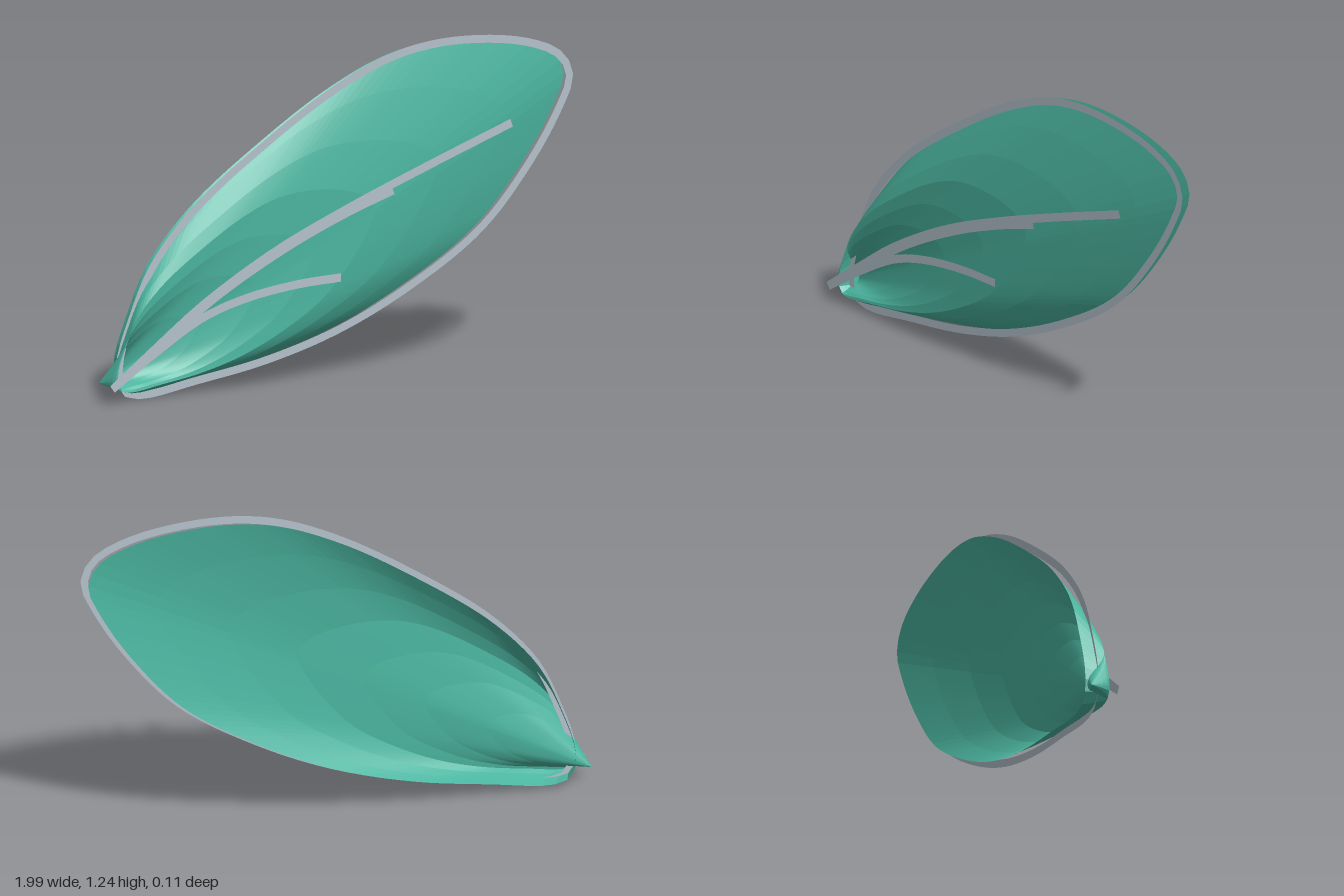
import * as THREE from 'three';

const green = new THREE.MeshStandardMaterial({ color: 0x4bb5a0, side: THREE.DoubleSide });
green.name = 'shell green';
const grey = new THREE.MeshStandardMaterial({ color: 0xb4c0cb, side: THREE.DoubleSide });
grey.name = 'vein grey';

const curve = (pts, closed = false) =>
  new THREE.CatmullRomCurve3(pts.map(([x, y]) => new THREE.Vector3(x, y, 0)), closed, 'centripetal');

// Leaf-shaped outline, counter-clockwise from the root
const outline = curve([
  [-0.92, 0.07], [-0.89, 0.03], [-0.82, 0.018], [-0.6, 0.05], [-0.3, 0.1], [0, 0.185], [0.3, 0.32],
  [0.6, 0.51], [0.8, 0.73], [0.93, 0.93], [0.978, 1.05], [0.94, 1.13], [0.8, 1.195], [0.5, 1.23],
  [0.25, 1.2], [0, 1.1], [-0.3, 0.92], [-0.6, 0.7], [-0.78, 0.5], [-0.87, 0.31], [-0.92, 0.16],
], true);

// Rows of points joined into faceted strips
function loft(rows) {
  const pos = [], index = [], n = rows[0].length;
  rows.forEach((row) => row.forEach((p) => pos.push(...p)));
  for (let r = 0; r < rows.length - 1; r++) {
    for (let i = 0; i < n - 1; i++) {
      const a = r * n + i, b = a + n;
      index.push(a, a + 1, b, a + 1, b + 1, b);
    }
  }
  const g = new THREE.BufferGeometry();
  g.setAttribute('position', new THREE.Float32BufferAttribute(pos, 3));
  g.setIndex(index);
  const flat = g.toNonIndexed();
  flat.computeVertexNormals();
  return flat;
}

// Flat ribbon of constant width following a curve
function ribbon(path, width, z, steps) {
  const rows = [[], []];
  for (let i = 0; i <= steps; i++) {
    const p = path.getPointAt(i / steps), t = path.getTangentAt(i / steps);
    [1, -1].forEach((side, r) => {
      const d = side * width / 2;
      rows[r].push([p.x + t.y * d, p.y - t.x * d, z]);
    });
  }
  return loft(rows);
}

function add(group, name, geometry, material) {
  const mesh = new THREE.Mesh(geometry, material);
  mesh.name = name;
  group.add(mesh);
}

export function createModel() {
  const model = new THREE.Group();
  model.name = 'wing';

  // Shell: outlines shrinking toward the root, rising and then dipping into a hollow [scale, z]
  const levels = [
    [1, -0.053], [0.86, -0.019], [0.71, 0.012], [0.57, 0.031], [0.44, 0.029],
    [0.32, 0.018], [0.2, -0.003], [0.1, -0.027], [0.001, -0.053],
  ];
  const edge = outline.getSpacedPoints(96);
  const rings = levels.map(([s, z]) => edge.map((p) => [
    -0.92 + (p.x + 0.92) * s - 0.065 * (1 - s),
    0.07 + (p.y - 0.07) * s,
    z,
  ]));
  add(model, 'shell', loft(rings), green);

  // Rim: flat band around the outline
  add(model, 'rim', ribbon(outline, 0.03, -0.007, 96), grey);

  // Veins: flat ribbons fanning out from the root in front of the shell
  const veins = {
    mainVein: [[-0.985, 0.065], [-0.8, 0.205], [-0.6, 0.35], [-0.3, 0.52], [0, 0.65], [0.3, 0.765], [0.7, 0.91]],
    middleVein: [[-0.985, 0.065], [-0.8, 0.195], [-0.55, 0.37], [-0.25, 0.53], [0, 0.635], [0.2, 0.703]],
    lowerVein: [[-0.985, 0.065], [-0.8, 0.187], [-0.6, 0.3], [-0.42, 0.355], [-0.2, 0.387], [-0.02, 0.395]],
  };
  for (const [name, pts] of Object.entries(veins)) {
    add(model, name, ribbon(curve(pts), 0.032, 0.053, 24), grey);
  }
  return model;
}
